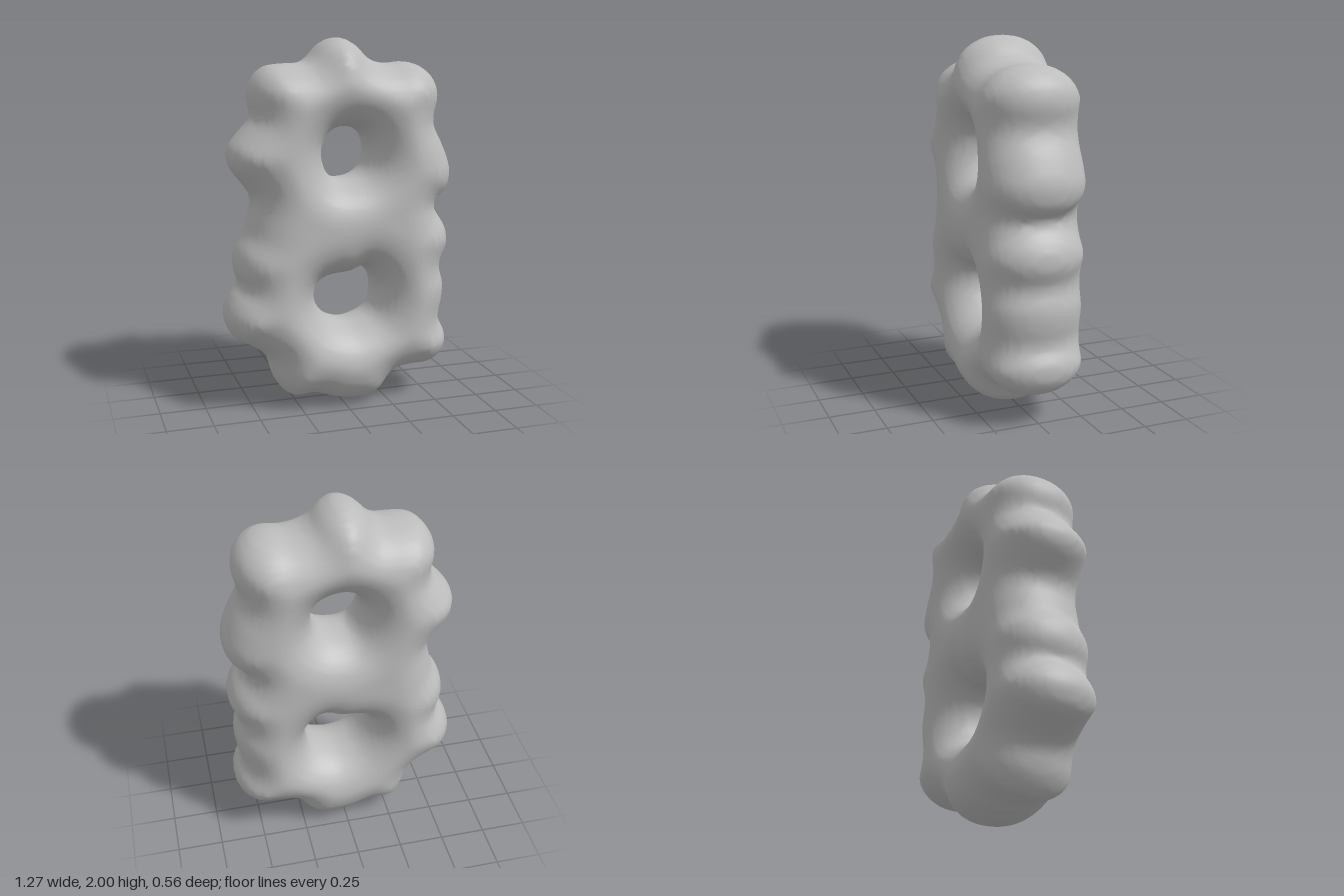
import * as THREE from 'three';

// silhouette and the two holes, as x, y pairs
const OUTLINE = [0, 2, -.09, 1.97, -.19, 1.875, -.3, 1.865, -.4, 1.85, -.47, 1.78, -.49, 1.7, -.475, 1.59, -.52, 1.53,
  -.605, 1.42, -.59, 1.32, -.53, 1.24, -.48, 1.16, -.5, 1.03, -.515, .97, -.57, .88, -.58, .77, -.555, .69, -.6, .63,
  -.64, .53, -.6, .41, -.5, .35, -.41, .28, -.37, .15, -.29, .05, -.16, .055, -.06, .02, .08, 0, .21, .03, .3, .14,
  .4, .16, .52, .17, .61, .25, .625, .35, .58, .44, .6, .55, .605, .65, .58, .75, .625, .87, .61, .97, .54, 1.09,
  .61, 1.17, .635, 1.28, .59, 1.42, .53, 1.55, .555, 1.68, .53, 1.78, .45, 1.85, .36, 1.87, .27, 1.86, .16, 1.89, .09, 1.96];
const UPPER_HOLE = [.03, 1.53, -.05, 1.51, -.1, 1.44, -.1, 1.35, -.06, 1.27, -.01, 1.25, .1, 1.27, .155, 1.33, .16, 1.42, .12, 1.5];
const LOWER_HOLE = [.05, .73, .12, .76, .19, .69, .21, .6, .18, .5, .1, .46, .03, .45, -.08, .49, -.15, .6, -.13, .69, -.06, .72];

function smoothLoop(flat) {
  const pts = [];
  for (let i = 0; i < flat.length; i += 2) pts.push(new THREE.Vector3(flat[i], flat[i + 1], 0));
  return new THREE.CatmullRomCurve3(pts, true).getPoints(pts.length * 3);
}

// distance to the nearest edge, positive inside the solid
function insideDistance(x, y, loops) {
  let best = 1e9, inside = false;
  for (const p of loops) for (let i = 0; i < p.length - 1; i++) {
    const a = p[i], b = p[i + 1], ex = b.x - a.x, ey = b.y - a.y;
    const t = Math.min(1, Math.max(0, ((x - a.x) * ex + (y - a.y) * ey) / (ex * ex + ey * ey || 1)));
    best = Math.min(best, Math.hypot(x - a.x - t * ex, y - a.y - t * ey));
    if ((a.y > y) !== (b.y > y) && x < a.x + (y - a.y) * ex / ey) inside = !inside;
  }
  return inside ? best : -best;
}

// inflate the flat shape into a pillowy solid with a surface net
function inflatedGeometry(loops, depth, round) {
  const s = 0.028, nx = 50, ny = 76, nz = 24;
  const x0 = -nx * s / 2, y0 = -0.06, z0 = -nz * s / 2;
  const at = (i, j, k) => (k * (ny + 1) + j) * (nx + 1) + i;
  const field = new Float32Array((nx + 1) * (ny + 1) * (nz + 1));
  for (let j = 0; j <= ny; j++) for (let i = 0; i <= nx; i++) {
    const u = Math.max(0, 1 - insideDistance(x0 + i * s, y0 + j * s, loops) / round);
    for (let k = 0; k <= nz; k++) {
      const w = Math.abs(z0 + k * s) / depth;
      field[at(i, j, k)] = Math.pow(u ** 2.15 + w ** 2.15, 1 / 2.15) - 1;
    }
  }
  // one vertex in every cell the surface crosses
  const pos = [], index = [], cell = new Map();
  const corner = (n) => [n & 1, (n >> 1) & 1, n >> 2];
  for (let k = 0; k < nz; k++) for (let j = 0; j < ny; j++) for (let i = 0; i < nx; i++) {
    let n = 0;
    const sum = [0, 0, 0];
    for (let a = 0; a < 8; a++) for (let axis = 0; axis < 3; axis++) {
      if (a & (1 << axis)) continue;
      const p = corner(a), q = corner(a | (1 << axis));
      const fa = field[at(i + p[0], j + p[1], k + p[2])], fb = field[at(i + q[0], j + q[1], k + q[2])];
      if ((fa < 0) === (fb < 0)) continue;
      p[axis] += fa / (fa - fb);
      for (let c = 0; c < 3; c++) sum[c] += p[c];
      n++;
    }
    if (!n) continue;
    cell.set(at(i, j, k), pos.length / 3);
    pos.push(x0 + (i + sum[0] / n) * s, y0 + (j + sum[1] / n) * s, z0 + (k + sum[2] / n) * s);
  }
  // one quad around every crossed grid edge
  const step = [at(1, 0, 0), at(0, 1, 0), at(0, 0, 1)];
  const links = Array.from({ length: pos.length / 3 }, () => new Set());
  for (let k = 1; k < nz; k++) for (let j = 1; j < ny; j++) for (let i = 1; i < nx; i++) {
    const o = at(i, j, k);
    for (let axis = 0; axis < 3; axis++) {
      const solid = field[o] < 0;
      if (solid === (field[o + step[axis]] < 0)) continue;
      const u = step[(axis + 1) % 3], v = step[(axis + 2) % 3];
      const q = [o - u - v, o - v, o, o - u].map((c) => cell.get(c));
      if (!solid) q.reverse();
      index.push(q[0], q[1], q[2], q[0], q[2], q[3]);
      q.forEach((a, m) => { const b = q[(m + 1) % 4]; links[a].add(b); links[b].add(a); });
    }
  }
  // relax the net; the second, negative pass keeps its size
  let cur = pos;
  for (const amount of [0.5, -0.5, 0.5, -0.5, 0.5, -0.45]) {
    const next = cur.slice();
    links.forEach((set, v) => {
      for (let c = 0; c < 3; c++) {
        let mean = 0;
        for (const w of set) mean += cur[w * 3 + c] / set.size;
        next[v * 3 + c] += amount * (mean - cur[v * 3 + c]);
      }
    });
    cur = next;
  }
  const geo = new THREE.BufferGeometry();
  geo.setAttribute('position', new THREE.Float32BufferAttribute(cur, 3));
  geo.setIndex(index);
  geo.computeVertexNormals();
  return geo;
}

export function createModel() {
  const group = new THREE.Group();
  const grey = new THREE.MeshStandardMaterial({ color: 0xbcbcbc });
  grey.name = 'light grey';
  const loops = [OUTLINE, UPPER_HOLE, LOWER_HOLE].map(smoothLoop);
  const body = new THREE.Mesh(inflatedGeometry(loops, 0.28, 0.25), grey);
  body.name = 'lumpyDoubleRing';
  group.add(body);
  return group;
}
